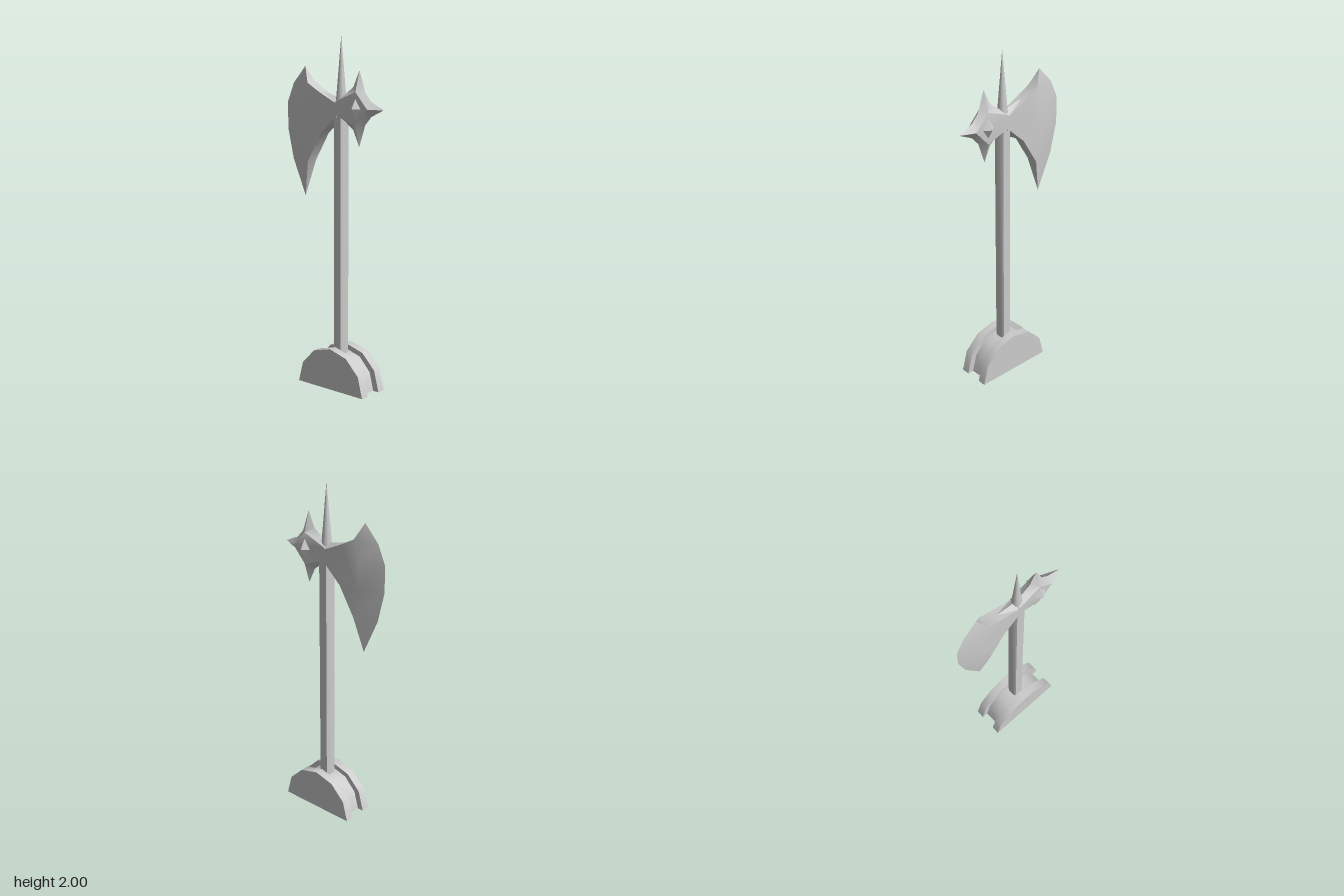
import * as THREE from 'three';
import { toCreasedNormals } from 'three/addons/utils/BufferGeometryUtils.js';

const POLE_Z = 0.053; // depth of the pole axis
const MID_Y = 1.603;  // height of the head's centre line
const T = 0.035;      // half thickness of the head

const material = new THREE.MeshStandardMaterial({ color: 0xcccccc, side: THREE.DoubleSide });

function add(group, name, geometry) {
  const mesh = new THREE.Mesh(toCreasedNormals(geometry, 0.65), material);
  mesh.name = name;
  group.add(mesh);
  return mesh;
}

// Builds a solid mirrored in x. Points are [z, y, half width].
// panels: polygons filled on both sides; rims: chains joined across x,
// running counter-clockwise as seen from +x.
function mirroredSolid(panels, rims) {
  const positions = [];
  const tri = (...corners) => corners.forEach(c => positions.push(...c));
  const right = ([z, y, x]) => [x, y, z];
  const left = ([z, y, x]) => [-x, y, z];

  for (const panel of panels) {
    const flat = panel.map(([z, y]) => new THREE.Vector2(-z, y));
    const ccw = !THREE.ShapeUtils.isClockWise(flat);
    const points = ccw ? panel : [...panel].reverse();
    if (!ccw) flat.reverse();
    for (const [i, j, k] of THREE.ShapeUtils.triangulateShape(flat, [])) {
      const [a, b, c] = [points[i], points[j], points[k]];
      tri(right(a), right(b), right(c));
      tri(left(a), left(c), left(b));
    }
  }
  for (const rim of rims) {
    for (let i = 0; i + 1 < rim.length; i++) {
      const [a, b] = [rim[i], rim[i + 1]];
      if (a[2] > 0) tri(right(a), left(a), left(b));
      if (b[2] > 0) tri(right(a), left(b), right(b));
    }
  }
  const geometry = new THREE.BufferGeometry();
  geometry.setAttribute('position', new THREE.Float32BufferAttribute(positions, 3));
  return geometry;
}

// Half cylinder lying along x, open underneath
function halfDrum(rz, ry, width, openEnded) {
  return new THREE.CylinderGeometry(1, 1, width, 6, 1, openEnded, 0, Math.PI)
    .rotateZ(Math.PI / 2)
    .scale(1, ry, rz);
}

function createBase() {
  const base = new THREE.Group();
  base.name = 'base';
  add(base, 'baseCore', halfDrum(0.202, 0.21, 0.098, true));
  for (const side of [-1, 1]) {
    add(base, side > 0 ? 'leftBasePlate' : 'rightBasePlate', halfDrum(0.24, 0.24, 0.05, false))
      .position.x = side * 0.073;
  }
  base.position.z = POLE_Z;
  return base;
}

function createPole() {
  // Square section with chamfered corners
  const section = [
    [0.034, -0.025], [0.034, 0.025], [0.018, 0.033], [-0.018, 0.033],
    [-0.034, 0.025], [-0.034, -0.025], [-0.018, -0.033], [0.018, -0.033],
  ].map(p => new THREE.Vector2(...p));
  return new THREE.ExtrudeGeometry(new THREE.Shape(section), { depth: 1.42, bevelEnabled: false })
    .rotateX(-Math.PI / 2)
    .translate(0, 0.2, POLE_Z);
}

function createBlade() {
  const lower = [[0.05, 1.55, T], [0.03, 1.545, T], [-0.07, 1.453, T], [-0.167, 1.294, T]];
  const upper = [[-0.167, 1.735, T], [-0.08, 1.687, T], [0.03, 1.635, T], [0.05, 1.63, T]];
  const ridge = [lower[3], [-0.197, 1.45, T], [-0.2, 1.61, T], upper[0]];
  const lowTip = [-0.217, 1.087, 0];
  const highTip = [-0.215, 1.827, 0];
  const edge = [[-0.31, 1.294, 0], [-0.352, 1.47, 0], [-0.352, 1.623, 0], [-0.305, 1.73, 0]];

  // Flat cheek, then the bevel running out to the cutting edge
  const panels = [
    [...lower, ridge[1], ridge[2], ...upper],
    [ridge[0], lowTip, edge[0]],
    [ridge[3], edge[3], highTip],
  ];
  for (let i = 0; i < 3; i++) {
    panels.push([ridge[i], edge[i], edge[i + 1]], [ridge[i], edge[i + 1], ridge[i + 1]]);
  }
  return mirroredSolid(panels, [[...lower, lowTip], [highTip, ...upper, lower[0]]]);
}

// Ridged wedges above and below where the blade meets the pole
function createNeck() {
  const top = [[-0.08, 1.688, 0], [0.04, 1.66, 0], [0.04, 1.63, T], [0, 1.645, T]];
  const bottom = [[-0.07, 1.452, 0], [0.04, 1.51, 0], [0.04, 1.55, T], [0, 1.525, T]];
  return mirroredSolid([top, bottom], [[top[1], top[2]], [bottom[2], bottom[1]]]);
}

function createBeak() {
  const flip = ([z, y, x]) => [z, 2 * MID_Y - y, x];
  // Sharp outline of the upper half, from the pole to the front tip
  const outline = [
    [0.04, 1.66, 0], [0.085, 1.68, 0], [0.14, 1.72, 0], [0.183, 1.812, 0],
    [0.225, 1.69, 0], [0.267, 1.643, 0], [0.352, MID_Y, 0],
  ];
  // Corners of the cheek, where the spikes' ridges start
  const back = [0.04, 1.64, T];
  const top = [0.183, 1.695, T];
  const front = [0.267, MID_Y, T];

  const upperPanels = [
    [outline[0], outline[1], back],
    [outline[1], top, back],
    [outline[1], outline[2], top],
    [outline[2], outline[3], top],
    [outline[3], outline[4], top],
    [outline[4], front, top],
    [outline[4], outline[5], front],
    [outline[5], outline[6], front],
  ];
  return mirroredSolid(
    [
      [back, top, front, flip(top), flip(back)],
      ...upperPanels,
      ...upperPanels.map(panel => panel.map(flip)),
    ],
    [[flip(outline[0]), flip(back), back, outline[0]]],
  );
}

export function createModel() {
  const model = new THREE.Group();
  model.name = 'halberd';
  model.add(createBase());
  add(model, 'pole', createPole());

  const head = new THREE.Group();
  head.name = 'head';
  add(head, 'blade', createBlade());
  add(head, 'bladeNeck', createNeck());
  add(head, 'beak', createBeak());

  // Diamond studs on both sides of the beak
  for (const side of [-1, 1]) {
    const stud = new THREE.ConeGeometry(1, 0.031, 4, 1)
      .rotateZ(-side * Math.PI / 2)
      .scale(1, 0.056, 0.037)
      .translate(side * (T + 0.0155), MID_Y, 0.183);
    add(head, side > 0 ? 'leftStud' : 'rightStud', stud);
  }

  add(head, 'topSpike', new THREE.ConeGeometry(0.032, 0.39, 10).translate(0, 1.805, POLE_Z));
  model.add(head);
  return model;
}
